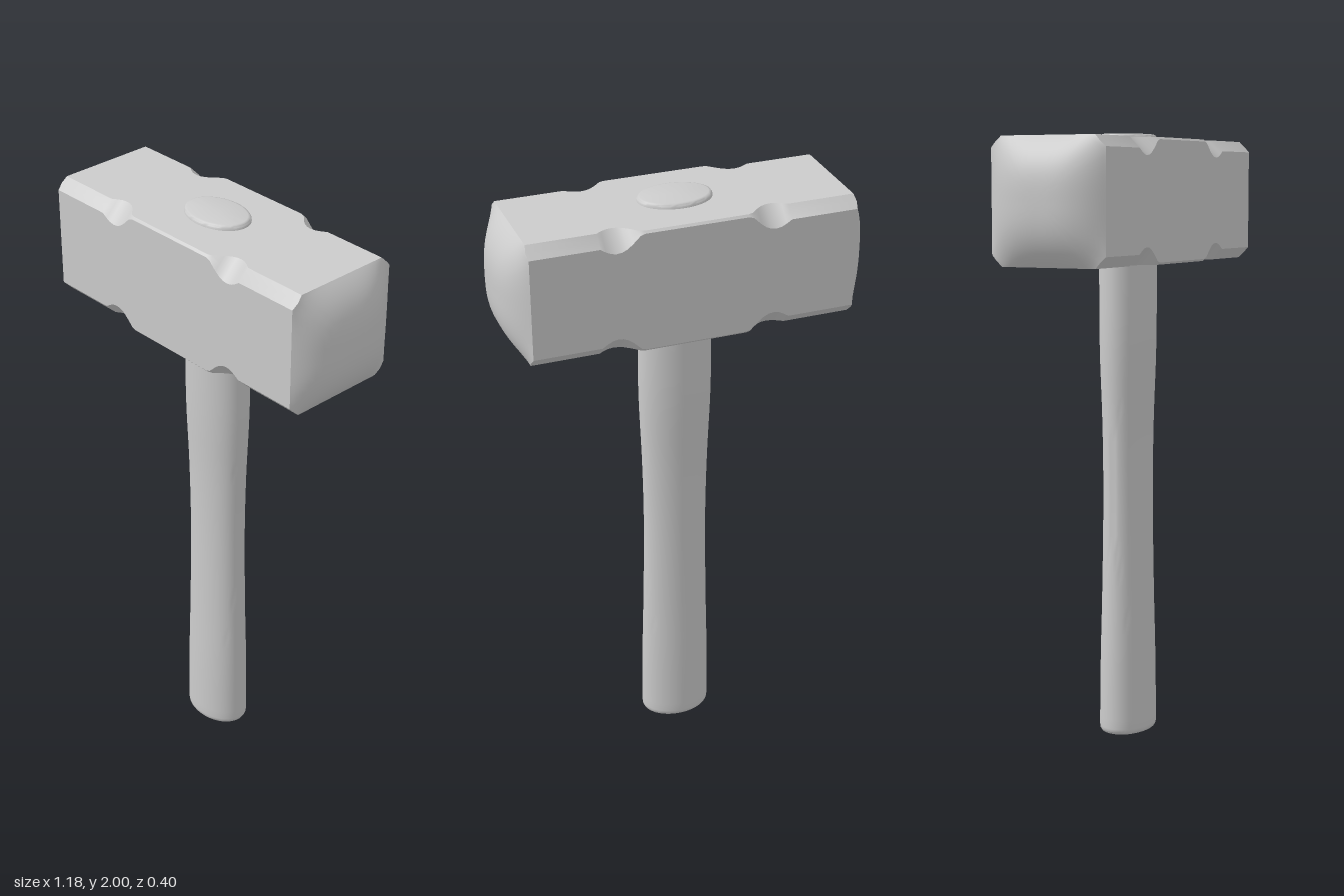
import * as THREE from 'three';
import { toCreasedNormals } from 'three/addons/utils/BufferGeometryUtils.js';

// Skin a series of closed rings that all have the same point count
function loft(rings, crease) {
  const n = rings[0].length, index = [];
  for (let i = 0; i < rings.length - 1; i++) {
    for (let j = 0; j < n; j++) {
      const a = i * n + j, b = i * n + (j + 1) % n;
      index.push(a, b, b + n, a, b + n, a + n);
    }
  }
  const geo = new THREE.BufferGeometry().setFromPoints(rings.flat());
  geo.setIndex(index);
  return toCreasedNormals(geo, crease);
}

// Linear interpolation through [position, value] pairs
function sample(table, t) {
  for (let i = 1; i < table.length; i++) {
    const [t0, v0] = table[i - 1], [t1, v1] = table[i];
    if (t <= t1) return v0 + (v1 - v0) * (t - t0) / (t1 - t0);
  }
  return table[table.length - 1][1];
}

const HALF = 0.2, BODY = 0.523, DOME = 0.069, HEAD_Y = 1.785;

// Edge chamfer along the head: sharp middle, scooped notch, plain chamfer
const CHAMFER = [[0, 0.007], [0.165, 0.007], [0.18, 0.012], [0.205, 0.036], [0.222, 0.049],
  [0.238, 0.056], [0.255, 0.058], [0.272, 0.055], [0.288, 0.047], [0.305, 0.036], [0.53, 0.036]];

// Chamfered square as [y, z] points, each edge subdivided
function section(c) {
  const k = HALF - c, pts = [];
  for (let side = 0; side < 4; side++) {
    const a = side * Math.PI / 2, cos = Math.cos(a), sin = Math.sin(a);
    const add = (p, q) => pts.push([p * cos - q * sin, p * sin + q * cos]);
    for (let i = 0; i <= 12; i++) add(HALF, -k + 2 * k * i / 12);
    add(HALF - c / 2, HALF - c / 2);
  }
  return pts;
}

function headGeometry() {
  const bulge = (t) => 1 - Math.min(1, Math.abs(t) / HALF) ** 2.9;
  // Pillow-shaped striking face made from shrinking rings
  const domeRing = (s, sign) => section(0.036).map(([y, z]) =>
    new THREE.Vector3(sign * (BODY + DOME * bulge(y * s) * bulge(z * s)), y * s, z * s));
  const scales = [0, 0.1, 0.2, 0.3, 0.4, 0.5, 0.6, 0.7, 0.78, 0.85, 0.91, 0.96, 1];
  const xs = CHAMFER.slice(0, -1).map(([x]) => x);
  const stations = [...xs.slice(1).reverse().map((x) => -x), ...xs];
  const rings = [
    ...scales.map((s) => domeRing(s, -1)),
    ...stations.map((x) => section(sample(CHAMFER, Math.abs(x))).map(([y, z]) => new THREE.Vector3(x, y, z))),
    ...scales.slice().reverse().map((s) => domeRing(s, 1)),
  ];
  return loft(rings, 0.5);
}

function handleGeometry() {
  // Half widths in x and z up the shaft
  const spline = (pts) => new THREE.SplineCurve(pts.map(([y, r]) => new THREE.Vector2(r, y)));
  const ys = [0.02, 0.25, 0.5, 0.8, 1.05, 1.3, 1.55, 1.98];
  const wide = spline([0.12, 0.118, 0.112, 0.108, 0.112, 0.121, 0.121, 0.12].map((r, i) => [ys[i], r]));
  const deep = spline([0.088, 0.085, 0.079, 0.075, 0.077, 0.085, 0.087, 0.086].map((r, i) => [ys[i], r]));
  const ring = (y, rx, rz) => Array.from({ length: 48 }, (_, j) => {
    const a = j / 48 * Math.PI * 2;
    return new THREE.Vector3(rx * Math.sin(a), y, rz * Math.cos(a));
  });
  const rings = [ring(0, 0, 0), ring(0, 0.108, 0.076), ring(0.003, 0.115, 0.083), ring(0.01, 0.119, 0.087)];
  for (let i = 0; i <= 35; i++) {
    const w = wide.getPoint(i / 35);
    rings.push(ring(w.y, w.x, deep.getPoint(i / 35).x));
  }
  // Rounded rim and flat top
  rings.push(ring(1.992, 0.119, 0.085), ring(1.998, 0.115, 0.081), ring(2, 0.108, 0.074), ring(2, 0, 0));
  return loft(rings, 0.9);
}

export function createModel() {
  const group = new THREE.Group();
  group.name = 'sledgehammer';
  const material = new THREE.MeshStandardMaterial({ color: 0xcccccc });

  const head = new THREE.Mesh(headGeometry(), material);
  head.name = 'head';
  head.position.y = HEAD_Y;

  const handle = new THREE.Mesh(handleGeometry(), material);
  handle.name = 'handle';

  group.add(head, handle);
  return group;
}
